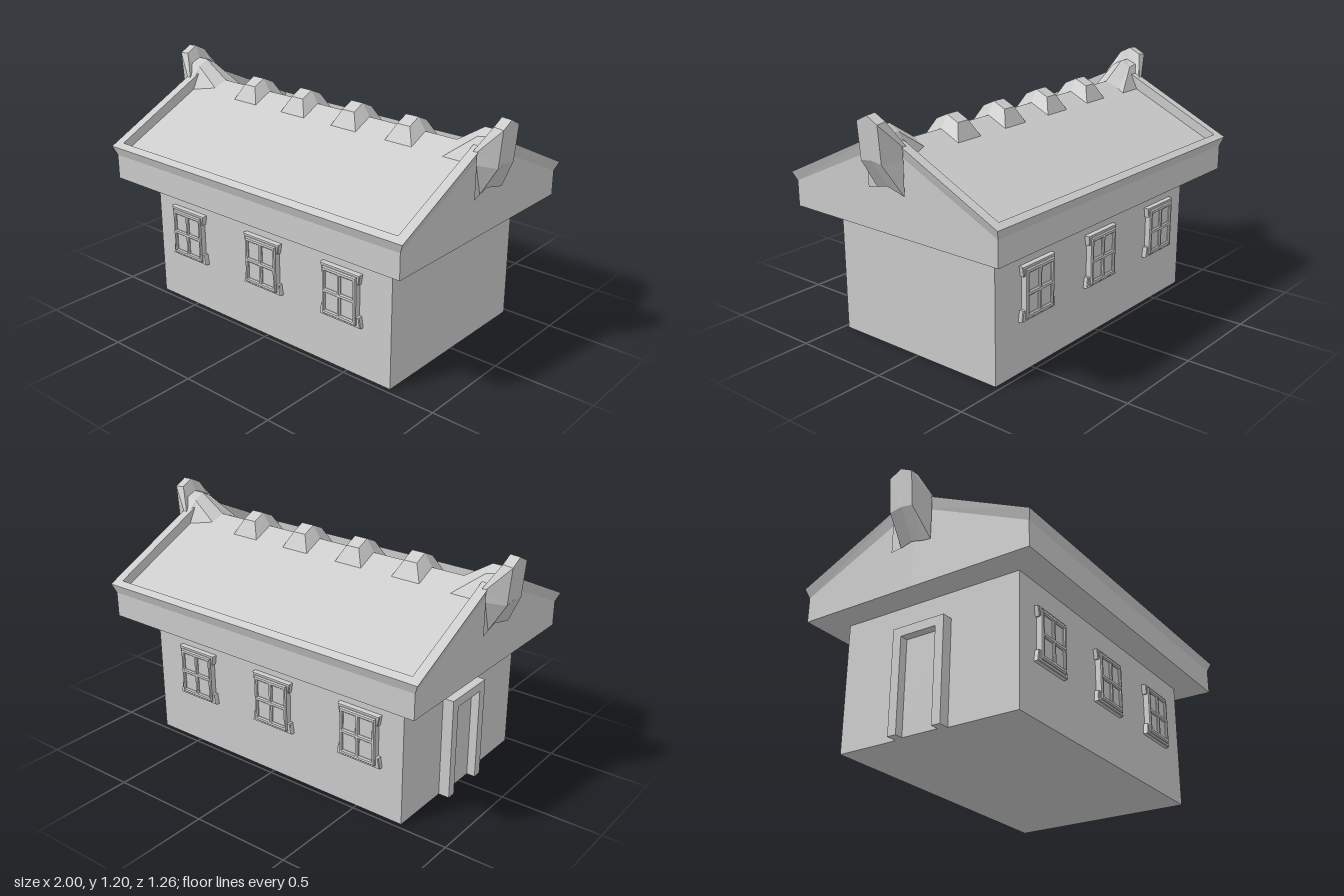
import * as THREE from 'three';

const mat = new THREE.MeshStandardMaterial({ color: 0xcccccc, flatShading: true });
const thinMat = new THREE.MeshStandardMaterial({ color: 0xcccccc, flatShading: true, side: THREE.DoubleSide });

function part(parent, name, geometry, x = 0, y = 0, z = 0, material = mat) {
  const mesh = new THREE.Mesh(geometry, material);
  mesh.name = name;
  mesh.position.set(x, y, z);
  parent.add(mesh);
  return mesh;
}

function fromQuads(quads) {
  const pos = [];
  for (const [a, b, c, d] of quads) pos.push(...a, ...b, ...c, ...a, ...c, ...d);
  const g = new THREE.BufferGeometry();
  g.setAttribute('position', new THREE.Float32BufferAttribute(pos, 3));
  g.computeVertexNormals();
  return g;
}

// Rectangular loop with a raised ridge point on each end
const gableLoop = (x, z, eave, ridge) => [
  [x, eave, z], [x, ridge, 0], [x, eave, -z], [-x, eave, -z], [-x, ridge, 0], [-x, eave, z],
];

// Skin stacked gable loops and close both ends
function gableLoft(loops) {
  const quads = [];
  for (let k = 0; k < loops.length - 1; k++) {
    const a = loops[k], b = loops[k + 1];
    for (let i = 0; i < 6; i++) {
      const j = (i + 1) % 6;
      quads.push([a[i], a[j], b[j], b[i]]);
    }
  }
  const s = loops[0], e = loops[loops.length - 1];
  quads.push([e[0], e[1], e[4], e[5]], [e[1], e[2], e[3], e[4]]);
  quads.push([s[5], s[4], s[1], s[0]], [s[4], s[3], s[2], s[1]]);
  return fromQuads(quads);
}

// Horn at the gable end: a folded strip swept from the ridge over the tip and down the wall
function hornGeometry() {
  // base x, base y, shoulder x, shoulder y, shoulder half width, crest x, crest y
  const stations = [
    [0.73, 1.0, 0.74, 1.02, 0.07, 0.73, 1.05],
    [0.86, 1.0, 0.87, 1.11, 0.055, 0.87, 1.14],
    [0.88, 1.03, 0.925, 1.12, 0.055, 0.925, 1.14],
    [0.885, 1.06, 0.95, 1.17, 0.06, 0.95, 1.2],
    [0.905, 1.06, 1.0, 1.165, 0.062, 1.0, 1.197],
    [0.905, 1.0, 0.985, 0.99, 0.062, 0.985, 1.0],
    [0.905, 0.84, 0.9, 0.85, 0.06, 0.9, 0.865],
  ];
  const rows = stations.map(([bx, by, sx, sy, w, cx, cy]) => [
    [bx, by, 0.11], [sx, sy, w], [cx, cy, 0], [sx, sy, -w], [bx, by, -0.11],
  ]);
  const quads = [];
  for (let k = 0; k < rows.length - 1; k++) {
    for (let i = 0; i < 4; i++) {
      quads.push([rows[k][i], rows[k + 1][i], rows[k + 1][i + 1], rows[k][i + 1]]);
    }
  }
  return fromQuads(quads);
}

function polygon(points) {
  return new THREE.Shape(points.map(([x, y]) => new THREE.Vector2(x, y)));
}

const rect = (x0, y0, x1, y1) => [[x0, y0], [x1, y0], [x1, y1], [x0, y1]];

// Four-pane window, local origin at its centre on the wall plane
function createWindow() {
  const g = new THREE.Group();
  g.name = 'window';

  const frame = polygon(rect(-0.094, -0.114, 0.094, 0.114));
  for (const sx of [-1, 1]) {
    for (const sy of [-1, 1]) {
      const cx = sx * 0.045, cy = sy * 0.054;
      frame.holes.push(polygon(rect(cx - 0.04, cy - 0.048, cx + 0.04, cy + 0.048)));
    }
  }
  part(g, 'windowFrame', new THREE.ExtrudeGeometry(frame, {
    depth: 0.028, bevelEnabled: true, bevelSize: 0.005, bevelThickness: 0.006, bevelSegments: 1,
  }));
  part(g, 'windowPanes', new THREE.BoxGeometry(0.18, 0.22, 0.024), 0, 0, 0.012);

  // Bracket-shaped trims that wrap the top and bottom of the frame
  const trim = (name, w, dir, outer, inner, foot) => {
    const pts = [
      [-w, outer], [w, outer], [w - 0.008, foot], [0.09, foot],
      [0.09, inner], [-0.09, inner], [-0.09, foot], [-w + 0.008, foot],
    ].map(([x, y]) => [x, y * dir]);
    part(g, name, new THREE.ExtrudeGeometry(polygon(pts), {
      depth: 0.019, bevelEnabled: true, bevelSize: 0.003, bevelThickness: 0.004, bevelSegments: 1,
    }));
  };
  trim('lintel', 0.112, 1, 0.129, 0.115, 0.085);
  trim('sill', 0.117, -1, 0.129, 0.112, 0.08);
  return g;
}

// Door frame with a recessed leaf, facing +z
function createDoor() {
  const g = new THREE.Group();
  g.name = 'door';
  const frame = polygon([
    [-0.14, 0], [-0.095, 0], [-0.095, 0.465], [0.095, 0.465],
    [0.095, 0], [0.14, 0], [0.14, 0.51], [-0.14, 0.51],
  ]);
  part(g, 'doorFrame', new THREE.ExtrudeGeometry(frame, { depth: 0.055, bevelEnabled: false }));
  part(g, 'doorLeaf', new THREE.BoxGeometry(0.19, 0.465, 0.012), 0, 0.2325, 0.006);
  return g;
}

export function createModel() {
  const model = new THREE.Group();
  model.name = 'house';

  part(model, 'walls', new THREE.BoxGeometry(1.5, 0.64, 0.95), 0, 0.32, 0);

  // Roof block with flared rim and sunken slopes
  part(model, 'roof', gableLoft([
    gableLoop(0.89, 0.615, 0.64, 0.64),
    gableLoop(0.89, 0.615, 0.765, 1.05),
    gableLoop(0.91, 0.63, 0.81, 1.11),
    gableLoop(0.862, 0.595, 0.827, 1.11),
    gableLoop(0.862, 0.595, 0.775, 1.05),
  ]));

  // Ridge blocks
  const block = gableLoft([
    gableLoop(0.082, 0.11, 0.99, 1.04),
    gableLoop(0.035, 0.065, 1.08, 1.11),
  ]);
  for (const x of [-0.487, -0.163, 0.16, 0.483]) part(model, 'ridgeBlock', block, x);

  // Gable horns
  const horn = hornGeometry();
  part(model, 'leftHorn', horn, 0, 0, 0, thinMat);
  part(model, 'rightHorn', horn, 0, 0, 0, thinMat).rotation.y = Math.PI;

  // Windows on the front and back walls
  for (const side of [1, -1]) {
    for (const x of [-0.52, -0.012, 0.473]) {
      const w = createWindow();
      w.position.set(x, 0.388, side * 0.475);
      if (side < 0) w.rotation.y = Math.PI;
      model.add(w);
    }
  }

  const door = createDoor();
  door.position.set(-0.75, 0, -0.02);
  door.rotation.y = -Math.PI / 2;
  model.add(door);

  return model;
}
